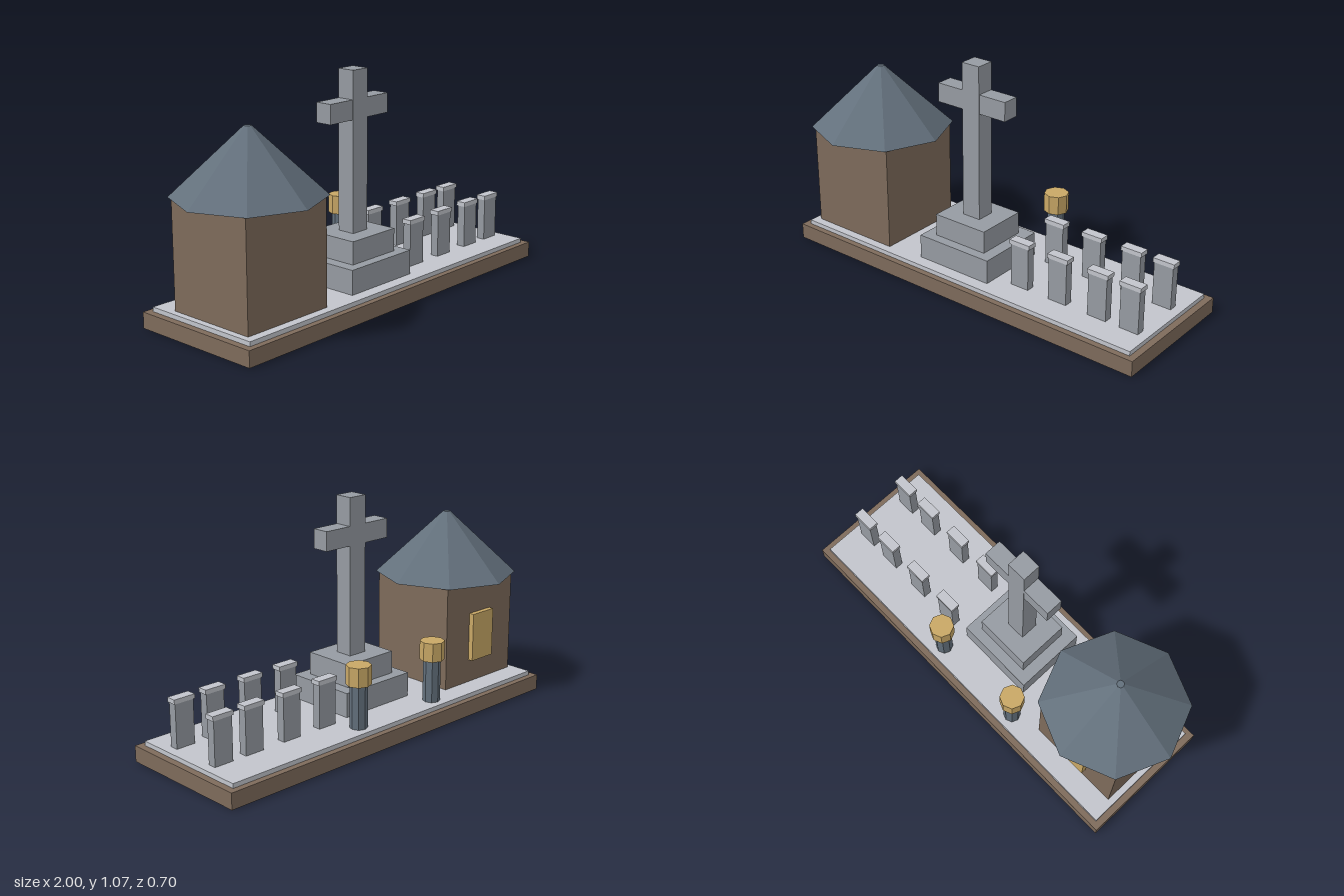
import * as THREE from 'three';

const material = (name, color) => {
  const m = new THREE.MeshStandardMaterial({ color });
  m.name = name;
  return m;
};

export function createModel() {
  const model = new THREE.Group();
  model.name = 'graveyard';
  const brown = material('brown', 0x7e6b5b);
  const paving = material('light grey', 0xc2c5cc);
  const stone = material('stone grey', 0x969ba2);
  const slate = material('slate', 0x63707c);
  const gold = material('gold', 0xc9a866);

  const add = (parent, name, geometry, mat, x, y, z) => {
    const mesh = new THREE.Mesh(geometry, mat);
    mesh.name = name;
    mesh.position.set(x, y, z);
    parent.add(mesh);
  };
  // Box from its centre in x and z, its size, and its bottom and top heights
  const box = (parent, name, mat, x, z, w, d, y0, y1) =>
    add(parent, name, new THREE.BoxGeometry(w, y1 - y0, d), mat, x, (y0 + y1) / 2, z);
  // Faceted eight-sided prism or cone
  const octagon = (parent, name, mat, x, z, rTop, rBottom, y0, y1) => {
    const geometry = new THREE.CylinderGeometry(rTop, rBottom, y1 - y0, 8).toNonIndexed();
    geometry.computeVertexNormals();
    add(parent, name, geometry, mat, x, (y0 + y1) / 2, z);
  };
  const group = (name) => {
    const g = new THREE.Group();
    g.name = name;
    model.add(g);
    return g;
  };

  // Ground
  box(model, 'base', brown, 0.022, -0.022, 1.956, 0.66, 0, 0.075);
  box(model, 'paving', paving, 0.022, -0.022, 1.892, 0.602, 0.075, 0.096);

  // Chapel with a door panel on its back wall
  const chapel = group('chapel');
  box(chapel, 'walls', brown, -0.66, 0.012, 0.467, 0.45, 0.096, 0.6);
  octagon(chapel, 'roof', slate, -0.66, 0.012, 0.017, 0.34, 0.598, 0.9);
  box(chapel, 'window', gold, -0.66, -0.225, 0.145, 0.026, 0.21, 0.445);

  // Stone cross on two steps
  const cross = group('cross');
  box(cross, 'lowerStep', stone, -0.043, 0.04, 0.4, 0.355, 0.096, 0.212);
  box(cross, 'upperStep', stone, -0.043, 0.041, 0.285, 0.256, 0.212, 0.32);
  box(cross, 'post', stone, -0.043, 0.042, 0.096, 0.088, 0.32, 1.066);
  box(cross, 'arms', stone, -0.043, 0.041, 0.382, 0.083, 0.843, 0.934);

  // Lanterns along the back
  for (const x of [-0.282, 0.195]) {
    const lantern = group('lantern');
    octagon(lantern, 'lanternPost', slate, x, -0.252, 0.041, 0.041, 0.096, 0.3);
    octagon(lantern, 'lanternHead', gold, x, -0.252, 0.058, 0.058, 0.3, 0.39);
  }

  // Two rows of gravestones
  for (const z of [0.129, -0.131]) {
    for (const x of [0.289, 0.498, 0.709, 0.875]) {
      const grave = group('gravestone');
      box(grave, 'headstone', stone, x, z, 0.096, 0.041, 0.096, 0.302);
      box(grave, 'headstoneCap', paving, x, z, 0.108, 0.048, 0.302, 0.323);
    }
  }
  return model;
}
